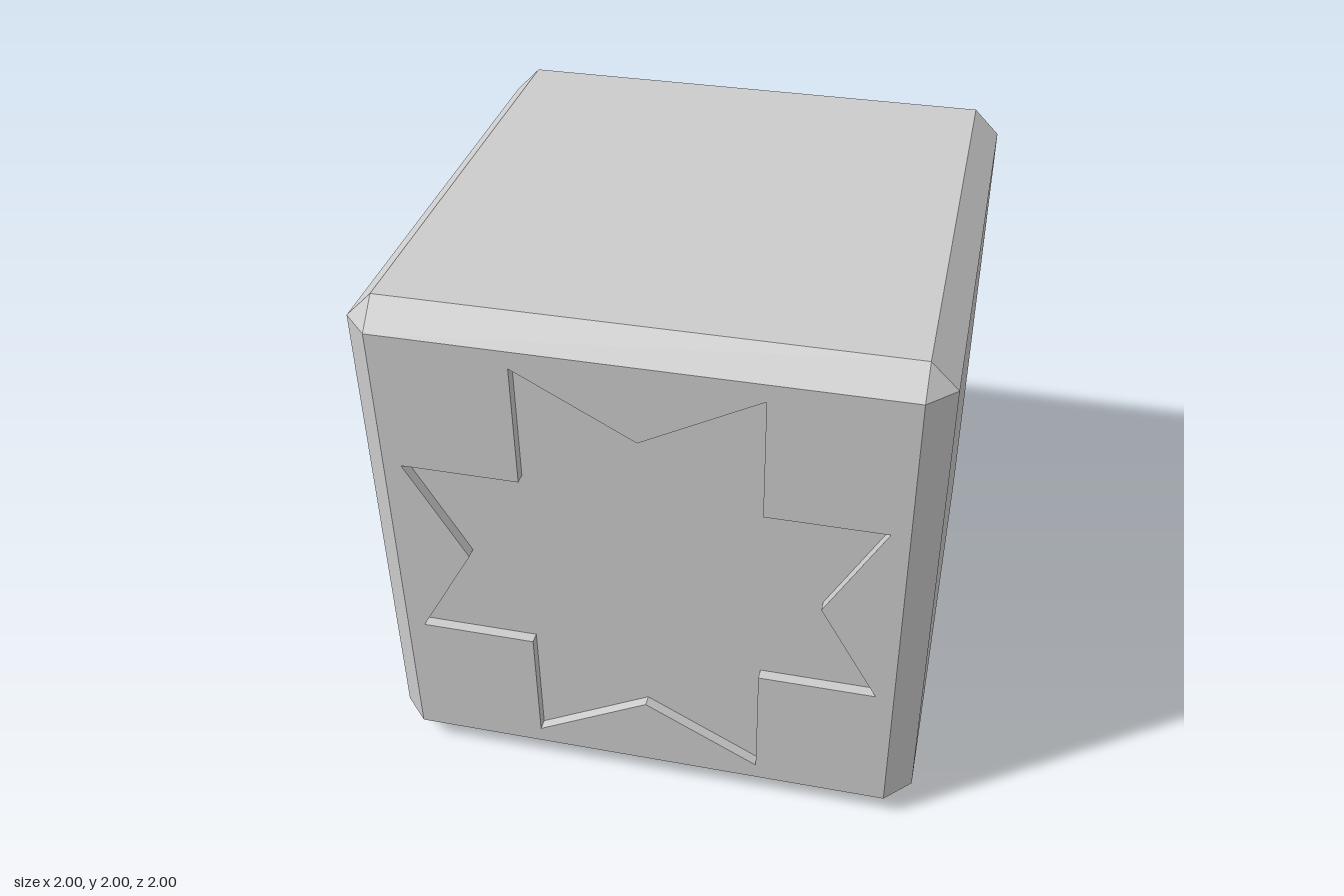
import * as THREE from 'three';

const HALF = 1;        // half the cube's side
const FLAT = 0.905;    // half width of each flat face inside the chamfers
const DEPTH = 0.04;    // depth of the star recess

const material = new THREE.MeshStandardMaterial({ color: 0xcccccc, flatShading: true });

// Skin a list of rings ({ points, z }) running from back to front.
// Counter-clockwise points face outward, clockwise points face inward.
function loft(rings) {
  const positions = [];
  const addTriangle = (a, b, c) => {
    if (a.equals(b) || b.equals(c) || c.equals(a)) return;
    for (const p of [a, b, c]) positions.push(p.x, p.y, p.z);
  };
  const rows = rings.map(({ points, z }) => points.map(([x, y]) => new THREE.Vector3(x, y, z)));
  for (let r = 0; r < rows.length - 1; r++) {
    const n = rows[r].length;
    for (let i = 0; i < n; i++) {
      const j = (i + 1) % n;
      addTriangle(rows[r][i], rows[r][j], rows[r + 1][j]);
      addTriangle(rows[r][i], rows[r + 1][j], rows[r + 1][i]);
    }
  }
  const geometry = new THREE.BufferGeometry();
  geometry.setAttribute('position', new THREE.Float32BufferAttribute(positions, 3));
  geometry.computeVertexNormals();
  return geometry;
}

function part(name, geometry, z = 0) {
  const mesh = new THREE.Mesh(geometry, material);
  mesh.name = name;
  mesh.position.z = z;
  return mesh;
}

const toVectors = (points) => points.map(([x, y]) => new THREE.Vector2(x, y));

// Eight-pointed-outline star, counter-clockwise, mirrored from its right half
function starPoints() {
  const right = [
    [0, -0.61], [0.42, -0.84], [0.42, -0.375], [0.84, -0.375],
    [0.63, 0], [0.84, 0.375], [0.42, 0.375], [0.42, 0.84],
  ];
  return [...right, ...right.map(([x, y]) => [-x, -y])];
}

// Flat face with a star-shaped recess, facing +z
function starFace(name) {
  const face = new THREE.Group();
  face.name = name;
  const star = starPoints();
  const square = [[-FLAT, -FLAT], [FLAT, -FLAT], [FLAT, FLAT], [-FLAT, FLAT]];

  const rim = new THREE.Shape(toVectors(square));
  rim.holes.push(new THREE.Path(toVectors(star)));
  face.add(part('faceRim', new THREE.ShapeGeometry(rim), HALF));

  const floor = new THREE.Shape(toVectors(star));
  face.add(part('starFloor', new THREE.ShapeGeometry(floor), HALF - DEPTH));

  const inward = [...star].reverse();
  face.add(part('starWalls', loft([
    { points: inward, z: HALF - DEPTH },
    { points: inward, z: HALF },
  ])));
  return face;
}

export function createModel() {
  const model = new THREE.Group();
  model.name = 'starBlock';

  // Chamfered sides: an octagon that closes to a square at each end
  const octagon = [], square = [];
  for (const [sx, sy] of [[1, 1], [-1, 1], [-1, -1], [1, -1]]) {
    const corner = [[sx * HALF, sy * FLAT], [sx * FLAT, sy * HALF]];
    octagon.push(...(sx * sy > 0 ? corner : corner.reverse()));
    square.push([sx * FLAT, sy * FLAT], [sx * FLAT, sy * FLAT]);
  }
  model.add(part('chamferedSides', loft([
    { points: square, z: -HALF },
    { points: octagon, z: -FLAT },
    { points: octagon, z: FLAT },
    { points: square, z: HALF },
  ])));

  // Recessed stars on the front and back
  const back = starFace('backStar');
  back.rotation.y = Math.PI;
  model.add(starFace('frontStar'), back);

  model.position.y = HALF;
  const root = new THREE.Group();
  root.name = 'block';
  root.add(model);
  return root;
}
